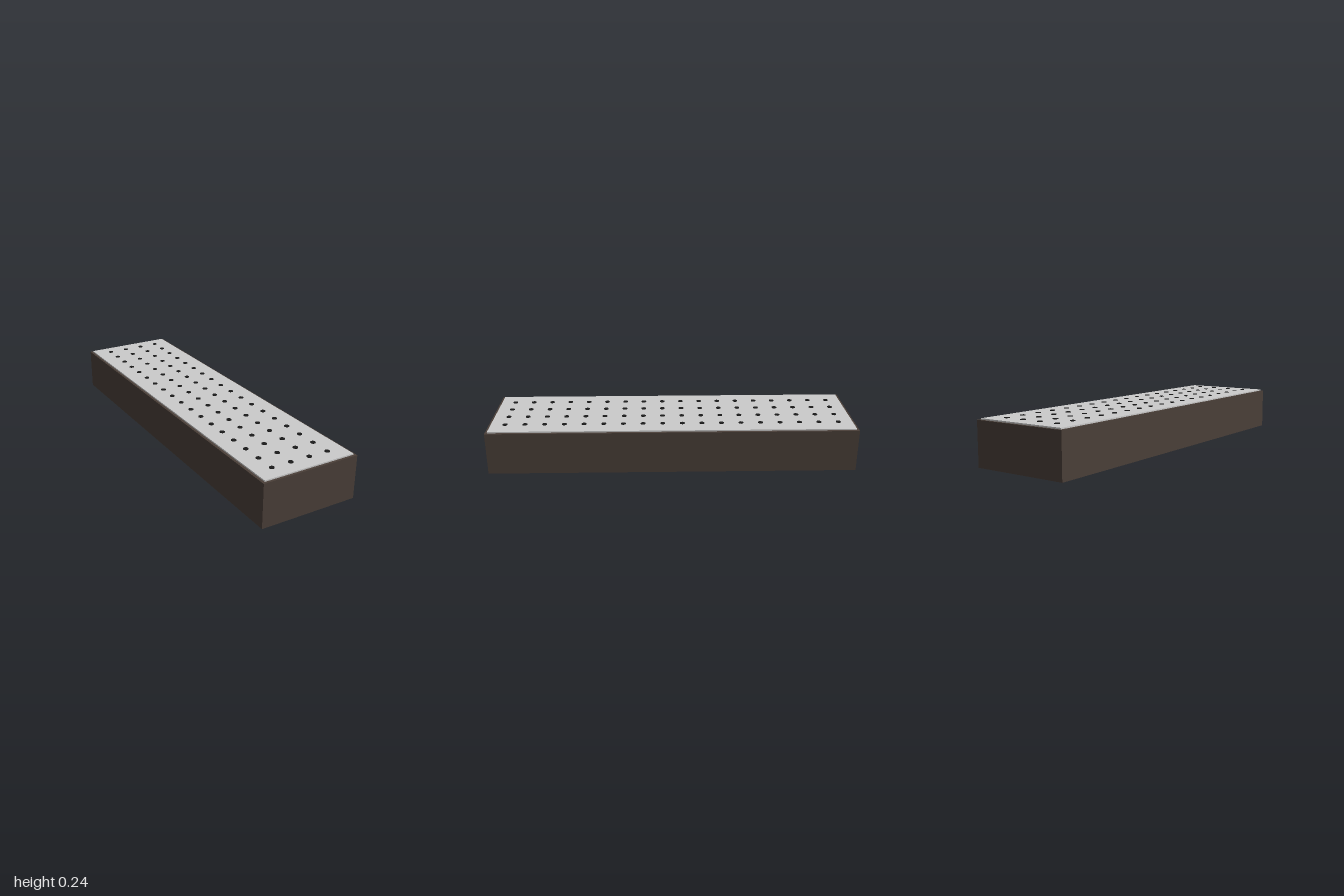
import * as THREE from 'three';

const WIDTH = 0.535, HEIGHT = 0.234, LENGTH = 2;
const COLS = 4, ROWS = 18, SPACING = 0.1068;

export function createModel() {
  const group = new THREE.Group();
  group.name = 'perforatedBlock';
  const material = (color) => new THREE.MeshStandardMaterial({ color });
  const add = (parent, name, geometry, mat, x, y, z) => {
    const mesh = new THREE.Mesh(geometry, mat);
    mesh.name = name;
    mesh.position.set(x, y, z);
    parent.add(mesh);
  };

  // Solid dark base
  add(group, 'base', new THREE.BoxGeometry(WIDTH, HEIGHT, LENGTH), material(0x4a3f38), 0, HEIGHT / 2, 0);

  // Thin plate, inset from the rim of the base
  const plateTop = 0.241;
  const plateHeight = plateTop - HEIGHT;
  add(group, 'topPlate', new THREE.BoxGeometry(0.508, plateHeight, 1.974), material(0xcccccc),
    0, HEIGHT + plateHeight / 2, 0);

  // Regular grid of small dark discs standing just above the plate
  const discs = new THREE.Group();
  discs.name = 'discs';
  group.add(discs);
  const discGeometry = new THREE.CylinderGeometry(0.0134, 0.0134, 0.004, 16);
  const discMaterial = material(0x1a1a1a);
  for (let row = 0; row < ROWS; row++) {
    for (let col = 0; col < COLS; col++) {
      add(discs, 'disc', discGeometry, discMaterial,
        (col - (COLS - 1) / 2) * SPACING, 0.2425, (row - (ROWS - 1) / 2) * SPACING);
    }
  }
  return group;
}
